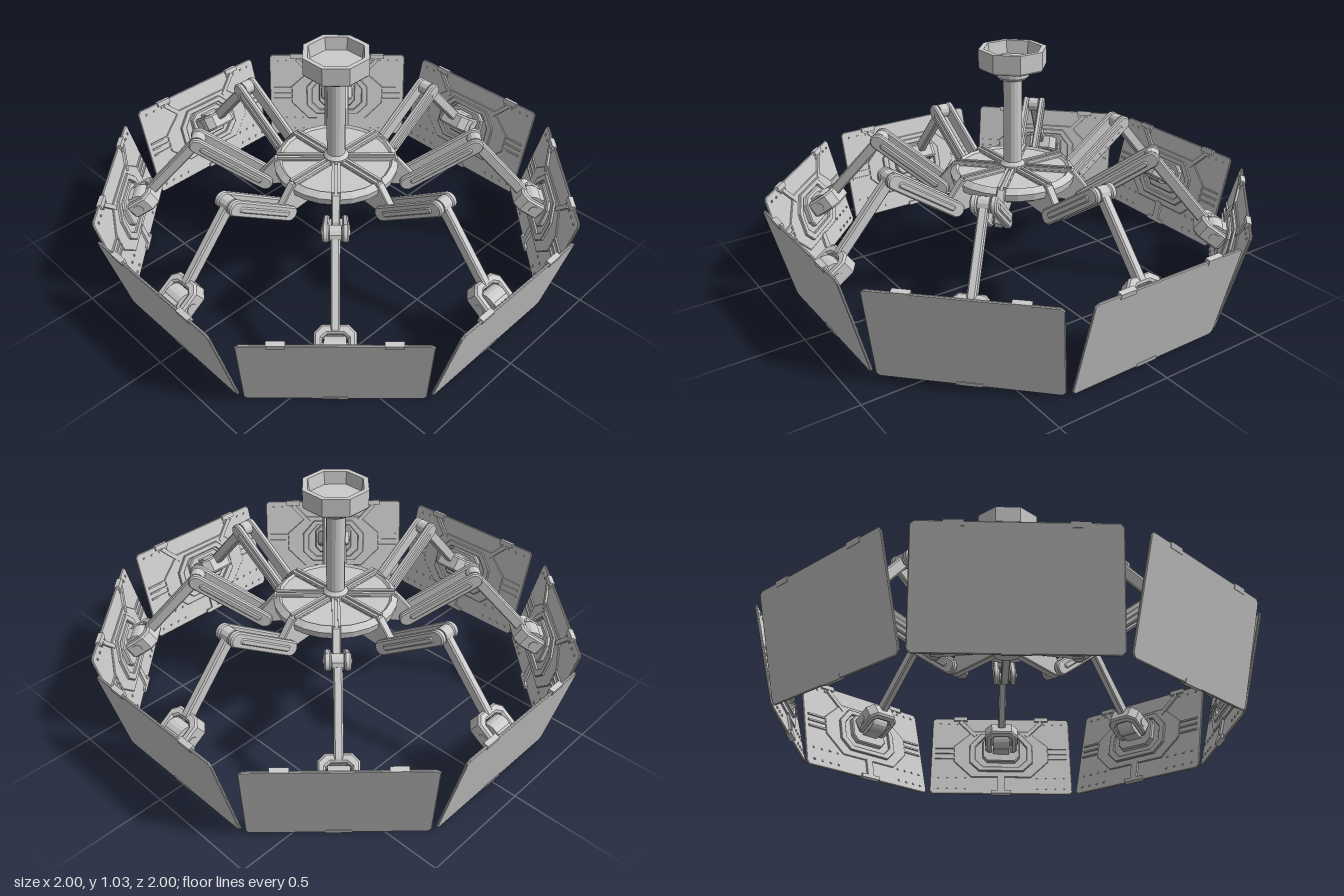
import * as THREE from 'three';

const material = new THREE.MeshStandardMaterial({ color: 0xcccccc, flatShading: true });
const ARMS = 8;

function add(parent, name, geometry, x = 0, y = 0, z = 0) {
  const mesh = new THREE.Mesh(geometry, material);
  mesh.name = name;
  mesh.position.set(x, y, z);
  parent.add(mesh);
  return mesh;
}

function polygon(points) {
  return new THREE.Shape(points.map(([x, y]) => new THREE.Vector2(x, y)));
}

// Extrusion centred on its own thickness, with a small chamfer
function plate(shape, depth, bevel = 0.004) {
  const g = new THREE.ExtrudeGeometry(shape, {
    depth: depth - 2 * bevel, bevelEnabled: bevel > 0, bevelThickness: bevel,
    bevelSize: bevel, bevelOffset: -bevel, bevelSegments: 1, curveSegments: 6,
  });
  return g.translate(0, 0, -depth / 2 + bevel);
}

// Round-ended bar lying along +z from the origin, thickness along x
function barGeometry(length, radius, thickness) {
  const s = new THREE.Shape();
  s.absarc(0, 0, radius, Math.PI / 2, Math.PI * 1.5, false);
  s.absarc(length, 0, radius, -Math.PI / 2, Math.PI / 2, false);
  return plate(s, thickness, 0.006).rotateY(-Math.PI / 2);
}

// Bar between two [radius, height] points of the arm plane
function bar(parent, name, a, b, radius, thickness, x = 0) {
  const dz = b[0] - a[0], dy = b[1] - a[1];
  const mesh = add(parent, name, barGeometry(Math.hypot(dz, dy), radius, thickness), x, a[1], a[0]);
  mesh.rotation.x = -Math.atan2(dy, dz);
  return mesh;
}

function pin(parent, name, [z, y], radius, width, sides = 12) {
  return add(parent, name, new THREE.CylinderGeometry(radius, radius, width, sides).rotateZ(Math.PI / 2), 0, y, z);
}

function lathe(parent, name, points, sides, turn = 0) {
  const g = new THREE.LatheGeometry(points.map(([r, y]) => new THREE.Vector2(r, y)), sides);
  return add(parent, name, g.rotateY(turn));
}

function createHub() {
  const hub = new THREE.Group();
  hub.name = 'hub';
  lathe(hub, 'hubDisc', [[0, 0.44], [0.22, 0.44], [0.265, 0.465], [0.27, 0.495], [0.245, 0.515],
    [0.235, 0.505], [0, 0.505]], 24);
  lathe(hub, 'hubBottomCap', [[0, 0.38], [0.055, 0.38], [0.07, 0.395], [0.07, 0.44], [0, 0.44]], 16);
  lathe(hub, 'mast', [[0.055, 0.5], [0.055, 0.53], [0.04, 0.545], [0.04, 0.905], [0.06, 0.91],
    [0.068, 0.92], [0.068, 0.945], [0.055, 0.957]], 16);
  // Octagonal cup open at the top
  const r = 0.133 / Math.cos(Math.PI / 8);
  lathe(hub, 'cup', [[0, 0.955], [r - 0.008, 0.955], [r, 0.965], [r, 1.04], [r - 0.022, 1.04],
    [r - 0.03, 0.985], [0, 0.985]], 8, Math.PI / 8);
  return hub;
}

function createPanel() {
  const panel = new THREE.Group();
  panel.name = 'panel';
  const w = 0.355, h = 0.221, c = 0.014;
  add(panel, 'panelSheet', plate(polygon([[-w + c, -h], [w - c, -h], [w, -h + c], [w, h - c],
    [w - c, h], [-w + c, h], [-w, h - c], [-w, -h + c]]), 0.01, 0.003));

  // Raised backing plate, and the framed mount plate on it
  add(panel, 'backingPlate', plate(polygon([[-0.15, -0.13], [0.15, -0.13], [0.24, -0.04], [0.24, 0.05],
    [0.14, 0.14], [-0.14, 0.14], [-0.24, 0.05], [-0.24, -0.04]]), 0.008, 0.003), 0, 0, -0.008);
  const frame = polygon([[-0.11, -0.1], [0.11, -0.1], [0.16, -0.05], [0.16, 0.05], [0.1, 0.12],
    [-0.1, 0.12], [-0.16, 0.05], [-0.16, -0.05]]);
  frame.holes.push(new THREE.Path([[-0.09, -0.075], [-0.13, -0.035], [-0.13, 0.04], [-0.085, 0.095],
    [0.085, 0.095], [0.13, 0.04], [0.13, -0.035], [0.09, -0.075]].map(([x, y]) => new THREE.Vector2(x, y))));
  add(panel, 'mountFrame', plate(frame, 0.014, 0.003), 0, 0, -0.016);
  add(panel, 'mountPlate', plate(polygon([[-0.07, -0.06], [0.07, -0.06], [0.095, -0.03], [0.095, 0.055],
    [0.065, 0.085], [-0.065, 0.085], [-0.095, 0.055], [-0.095, -0.03]]), 0.026, 0.005), 0, 0.01, -0.02);

  // Lower stem with its foot, and edge clips
  add(panel, 'lowerStem', new THREE.BoxGeometry(0.035, 0.09, 0.012), 0, -0.165, -0.009);
  add(panel, 'lowerClip', new THREE.BoxGeometry(0.1, 0.018, 0.022), 0, -0.213, -0.004);
  for (const s of [-1, 1]) {
    add(panel, 'upperClip', new THREE.BoxGeometry(0.07, 0.022, 0.022), s * 0.21, 0.214, -0.004);
    const brace = add(panel, 'diagonalBrace', new THREE.BoxGeometry(0.02, 0.12, 0.012), s * 0.17, 0.155, -0.009);
    brace.rotation.z = -s * 0.75;
    for (const y of [-0.02, 0.01, 0.04])
      add(panel, 'sideRib', new THREE.BoxGeometry(0.1, 0.008, 0.008), s * 0.285, y, -0.008);
    for (const y of [-0.19, -0.13, 0.19])
      for (let i = 0; i < 4; i++)
        add(panel, 'rivet', new THREE.BoxGeometry(0.008, 0.008, 0.006), s * (0.18 + i * 0.045), y, -0.007);
  }
  // Leans outwards towards the top
  panel.position.set(0, 0.222, 0.936);
  panel.rotation.x = 0.255;
  return panel;
}

function createArm() {
  const arm = new THREE.Group();
  arm.name = 'arm';
  const root = [0.31, 0.405], elbow = [0.59, 0.6], wrist = [0.87, 0.28];

  // Spoke running through the hub disc, with twin ribs on top
  add(arm, 'spoke', plate(polygon([[0.03, 0.4], [0.29, 0.375], [0.325, 0.375], [0.34, 0.4], [0.335, 0.43],
    [0.265, 0.515], [0.03, 0.515]]), 0.036).rotateY(-Math.PI / 2));
  for (const s of [-1, 1])
    add(arm, 'spokeRib', new THREE.BoxGeometry(0.012, 0.012, 0.22), s * 0.012, 0.518, 0.145);

  // Twin upper links with raised outer strips
  for (const s of [-1, 1]) {
    bar(arm, 'upperLink', root, elbow, 0.034, 0.026, s * 0.038);
    bar(arm, 'linkStrip', [0.335, 0.4224], [0.565, 0.5826], 0.014, 0.014, s * 0.049);
  }
  pin(arm, 'rootPin', root, 0.02, 0.09);
  pin(arm, 'elbowPin', elbow, 0.02, 0.09);

  // Lower rod with a thicker eye at the elbow
  bar(arm, 'lowerRod', elbow, [0.82, 0.337], 0.024, 0.036);
  pin(arm, 'elbowEye', elbow, 0.032, 0.045);

  // Yoke gripping the wrist roller, in line with the rod
  const yoke = add(arm, 'wristYoke', plate(polygon([[-0.05, -0.085], [0.05, -0.085], [0.08, -0.055],
    [0.08, 0.035], [0.065, 0.05], [0.048, 0.05], [0.048, -0.035], [0.03, -0.05], [-0.03, -0.05],
    [-0.048, -0.035], [-0.048, 0.05], [-0.065, 0.05], [-0.08, 0.035], [-0.08, -0.055]]), 0.075, 0.008)
    .rotateX(Math.PI / 2), 0, wrist[1], wrist[0]);
  yoke.rotation.x = 0.6;
  pin(arm, 'wristRoller', wrist, 0.045, 0.084, 16);
  pin(arm, 'wristPin', wrist, 0.022, 0.166);
  const lug = add(arm, 'wristLug', new THREE.BoxGeometry(0.08, 0.085, 0.07), 0, 0.265, 0.9);
  lug.rotation.x = 0.255;

  arm.add(createPanel());
  return arm;
}

export function createModel() {
  const model = new THREE.Group();
  model.name = 'ringOfPanels';
  model.add(createHub());
  const first = createArm();
  for (let i = 0; i < ARMS; i++) {
    const arm = i ? first.clone() : first;
    arm.rotation.y = (i * Math.PI * 2) / ARMS;
    model.add(arm);
  }
  return model;
}
